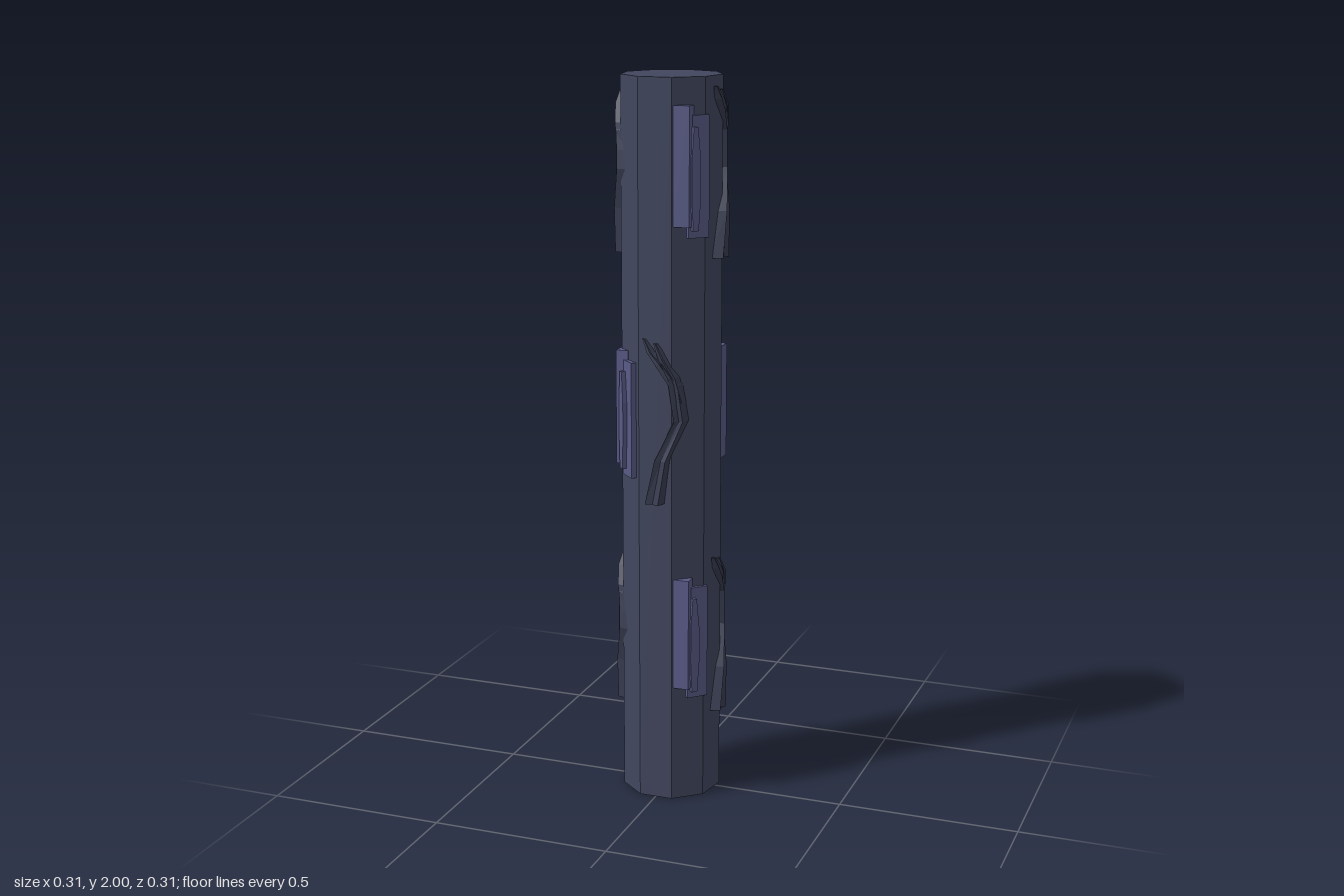
import * as THREE from 'three';

const R = 0.137; // trunk radius

const barkMat = new THREE.MeshStandardMaterial({ color: 0x42475f });
barkMat.name = 'bark';
const rootMat = new THREE.MeshStandardMaterial({ color: 0x3a3f53 });
rootMat.name = 'darkBark';
const plateMat = new THREE.MeshStandardMaterial({ color: 0x595b87 });
plateMat.name = 'violetBark';

function addMesh(parent, name, geometry, material) {
  const flat = geometry.index ? geometry.toNonIndexed() : geometry;
  flat.computeVertexNormals();
  const mesh = new THREE.Mesh(flat, material);
  mesh.name = name;
  parent.add(mesh);
  return mesh;
}

// Grooved ribbon hugging the +z side of the trunk.
// Stations run upward: [y, left x, right x, height above the bark]
const PROFILE = [[0, -0.8], [0.18, 0.9], [0.5, 0.55], [0.8, 1], [1, -0.8]];
function ribbon(stations) {
  const pos = [], idx = [], n = PROFILE.length;
  for (const [y, l, r, h] of stations) {
    for (const [u, k] of PROFILE) {
      const x = l + (r - l) * u;
      pos.push(x, y, Math.sqrt(R * R - x * x) + h * k);
    }
  }
  for (let s = 0; s < stations.length - 1; s++) {
    for (let i = 0; i < n; i++) {
      const a = s * n + i, b = s * n + (i + 1) % n;
      idx.push(a, b, b + n, a, b + n, a + n);
    }
  }
  const top = (stations.length - 1) * n;
  for (let i = 1; i < n - 1; i++) {
    idx.push(0, i + 1, i);
    idx.push(top, top + i, top + i + 1);
  }
  const g = new THREE.BufferGeometry();
  g.setAttribute('position', new THREE.Float32BufferAttribute(pos, 3));
  g.setIndex(idx);
  return g;
}

// Twisting vine with a forked upper end, facing +z
function makeVine() {
  const vine = new THREE.Group();
  vine.name = 'vine';
  addMesh(vine, 'vineStem', ribbon([
    [0.238, -0.032, 0.03, 0.02],
    [0.36, -0.002, 0.046, 0.019],
    [0.47, 0.05, 0.085, 0.014],
    [0.57, 0.036, 0.072, 0.012],
    [0.625, 0.0, 0.035, 0.012],
    [0.655, -0.02, 0.002, 0.012],
    [0.69, -0.034, -0.024, 0.004],
  ]), rootMat);
  addMesh(vine, 'vineFork', ribbon([
    [0.52, 0.055, 0.08, 0.01],
    [0.59, 0.035, 0.066, 0.015],
    [0.64, 0.012, 0.036, 0.014],
    [0.68, -0.002, 0.01, 0.004],
  ]), rootMat);
  return vine;
}

// Overlapping bark plates with a raised sliver, on the +x +z corner
function makePlates() {
  const plates = new THREE.Group();
  plates.name = 'barkPlates';
  const flat = addMesh(plates, 'tallPlate', new THREE.BoxGeometry(0.047, 0.315, 0.035), plateMat);
  flat.position.set(0.0715, 0.488, 0.108);

  const corner = new THREE.Group();
  corner.name = 'cornerPlates';
  corner.rotation.y = Math.PI / 4;
  plates.add(corner);
  const tilted = addMesh(corner, 'tiltedPlate', new THREE.BoxGeometry(0.06, 0.32, 0.022), plateMat);
  tilted.position.set(0.014, 0.46, 0.129);

  const outline = new THREE.Shape([
    [-0.008, -0.135], [0.008, -0.135], [0.014, -0.05], [0.014, 0.05],
    [0.006, 0.135], [-0.006, 0.135], [-0.012, 0.05], [-0.012, -0.05],
  ].map(([x, y]) => new THREE.Vector2(x, y)));
  const sliver = addMesh(corner, 'barkSliver',
    new THREE.ExtrudeGeometry(outline, { depth: 0.03, bevelEnabled: false }), plateMat);
  sliver.position.set(0, 0.455, 0.122);
  return plates;
}

export function createModel() {
  const model = new THREE.Group();
  model.name = 'log';

  // Nine-sided trunk with one edge at the back
  const trunk = addMesh(model, 'trunk', new THREE.CylinderGeometry(R, R, 2, 9, 1, false, Math.PI), barkMat);
  trunk.position.y = 1;

  // Three rings of detail, each turned a quarter from the last
  [0, 0.622, 1.283].forEach((y, level) => {
    for (let side = 0; side < 2; side++) {
      const turn = side * Math.PI - (level % 2) * Math.PI / 2;
      const plates = makePlates();
      plates.position.y = y;
      plates.rotation.y = turn;
      const vine = makeVine();
      vine.position.y = y;
      vine.rotation.y = turn + Math.PI / 2;
      model.add(plates, vine);
    }
  });
  return model;
}
